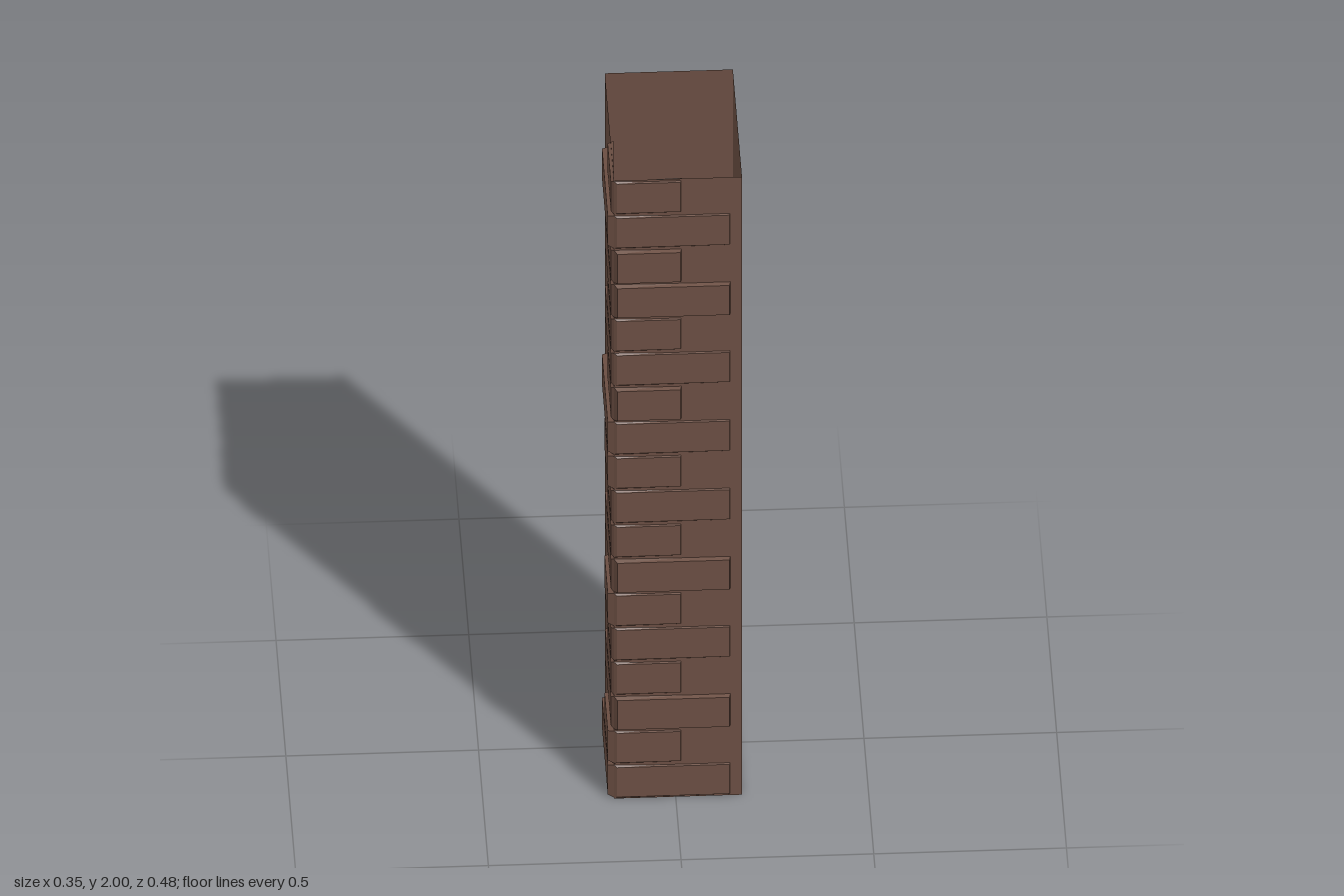
import * as THREE from 'three';

const HEIGHT = 2, ROWS = 18, PITCH = HEIGHT / ROWS;
const LEFT = -0.16, RIGHT = 0.172, FRONT = 0.227, BACK = -0.238;

// Tapered block on a wall: u runs from the quoin corner along the wall, d points out of it
function brickGeometry(length, depth, y0, y1, toWorld, flip) {
  const inset = 0.005;
  const base = [[0, 0, y0], [length, -0.008, y0], [length, -0.008, y1], [0, 0, y1]];
  const face = [
    [0.008, depth, y0 + inset], [length - inset, depth, y0 + inset],
    [length - inset, depth, y1 - inset], [0.008, depth, y1 - inset],
  ];
  const points = [...base, ...face].map(([u, d, y]) => toWorld(u, d, y));
  const quads = [[4, 5, 6, 7], [3, 2, 1, 0]];
  for (let i = 0; i < 4; i++) {
    const j = (i + 1) % 4;
    quads.push([i, j, j + 4, i + 4]);
  }
  const positions = [];
  for (const [a, b, c, d] of quads) {
    const order = flip ? [a, c, b, a, d, c] : [a, b, c, a, c, d];
    for (const k of order) positions.push(...points[k]);
  }
  const geometry = new THREE.BufferGeometry();
  geometry.setAttribute('position', new THREE.Float32BufferAttribute(positions, 3));
  geometry.computeVertexNormals();
  return geometry;
}

export function createModel() {
  const model = new THREE.Group();
  model.name = 'brickCornerColumn';
  const brown = new THREE.MeshStandardMaterial({ color: 0x6d5044, side: THREE.DoubleSide });
  brown.name = 'brown brick';

  // Four thin walls, open at the top and bottom
  const wall = (name, width, x, z, angle) => {
    const mesh = new THREE.Mesh(new THREE.PlaneGeometry(width, HEIGHT), brown);
    mesh.name = name;
    mesh.position.set(x, HEIGHT / 2, z);
    mesh.rotation.y = angle;
    model.add(mesh);
  };
  const midX = (LEFT + RIGHT) / 2, midZ = (FRONT + BACK) / 2;
  wall('frontWall', RIGHT - LEFT, midX, FRONT, 0);
  wall('backWall', RIGHT - LEFT, midX, BACK, Math.PI);
  wall('leftWall', FRONT - BACK, RIGHT, midZ, Math.PI / 2);
  wall('rightWall', FRONT - BACK, LEFT, midZ, -Math.PI / 2);

  // Alternating long and short bricks wrapping one corner; a few stand out further
  const proudFront = [2, 6, 11, 14, 15];
  const proudSide = [0, 1, 5, 9, 10, 16];
  const onFront = (u, d, y) => [LEFT + u, y, FRONT + d];
  const onSide = (u, d, y) => [LEFT - d, y, FRONT - u];
  const frontBricks = new THREE.Group();
  frontBricks.name = 'frontBricks';
  const sideBricks = new THREE.Group();
  sideBricks.name = 'sideBricks';
  const addBrick = (group, name, geometry) => {
    const mesh = new THREE.Mesh(geometry, brown);
    mesh.name = name;
    group.add(mesh);
  };

  for (let row = 0; row < ROWS; row++) {
    const length = row % 2 === 0 ? 0.304 : 0.177;
    const y0 = row * PITCH + 0.003, y1 = (row + 1) * PITCH - 0.003;
    const frontDepth = proudFront.includes(row) ? 0.012 : 0.005;
    const sideDepth = proudSide.includes(row) ? 0.016 : 0.008;
    addBrick(frontBricks, 'frontBrick', brickGeometry(length, frontDepth, y0, y1, onFront, false));
    addBrick(sideBricks, 'sideBrick', brickGeometry(length, sideDepth, y0, y1, onSide, true));
  }
  model.add(frontBricks, sideBricks);
  return model;
}
